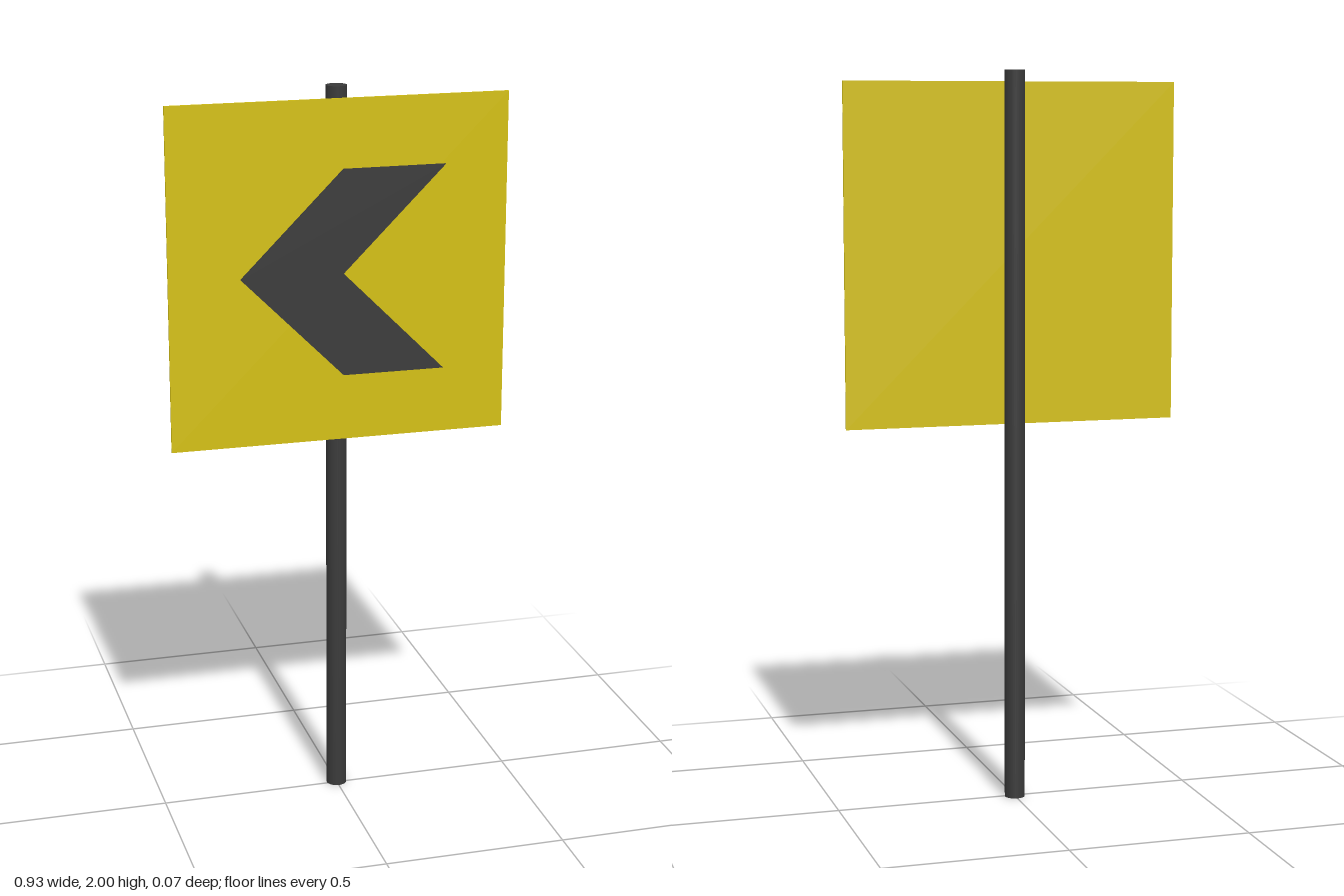
import * as THREE from 'three';

export function createModel() {
  const group = new THREE.Group();
  const dark = new THREE.MeshStandardMaterial({ color: 0x3a3a3a });
  const yellow = new THREE.MeshStandardMaterial({ color: 0xd4c010 });

  const add = (name, geometry, material, x, y, z) => {
    const mesh = new THREE.Mesh(geometry, material);
    mesh.name = name;
    mesh.position.set(x, y, z);
    group.add(mesh);
  };

  // Round post, standing just behind the panel
  add('post', new THREE.CylinderGeometry(0.028, 0.028, 2, 32), dark, 0, 1, -0.006);

  // Thin square panel
  add('signPanel', new THREE.BoxGeometry(0.926, 0.926, 0.005), yellow, 0, 1.507, 0.0245);

  // Raised chevron pointing to the model's right, centred on its own height
  const chevron = new THREE.Shape([
    [-0.27, 0], [0.01, -0.28], [0.29, -0.28],
    [0.01, 0], [0.29, 0.28], [0.01, 0.28],
  ].map(([x, y]) => new THREE.Vector2(x, y)));
  const chevronGeometry = new THREE.ExtrudeGeometry(chevron, { depth: 0.007, bevelEnabled: false });
  add('chevron', chevronGeometry, dark, 0, 1.505, 0.0265);

  return group;
}
